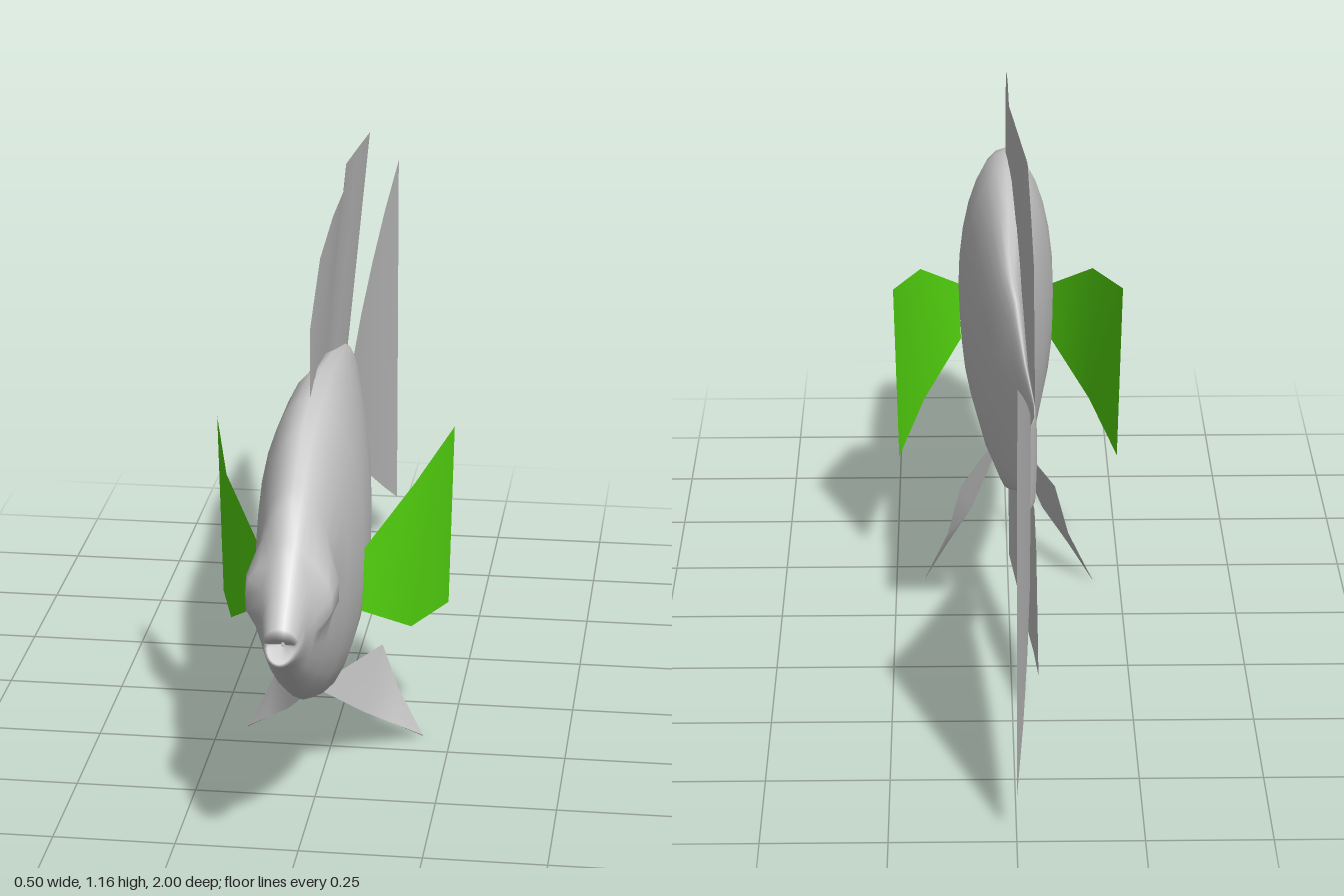
import * as THREE from 'three';
import { mergeVertices } from 'three/addons/utils/BufferGeometryUtils.js';

const grey = new THREE.MeshStandardMaterial({ color: 0xcccccc, side: THREE.DoubleSide });
const green = new THREE.MeshStandardMaterial({ color: 0x58e010, side: THREE.DoubleSide });

// Joins rows of [x, y, z] points into a smooth surface.
function loft(rows) {
  const n = rows[0].length, index = [];
  for (let i = 0; i < rows.length - 1; i++) {
    for (let j = 0; j < n - 1; j++) {
      const a = i * n + j, b = a + n;
      index.push(a, b, b + 1, a, b + 1, a + 1);
    }
  }
  let g = new THREE.BufferGeometry();
  g.setAttribute('position', new THREE.Float32BufferAttribute(rows.flat(2), 3));
  g.setIndex(index);
  g = mergeVertices(g, 1e-5);
  g.computeVertexNormals();
  return g;
}

export function createModel() {
  const fish = new THREE.Group();
  fish.name = 'fish';
  const add = (name, geometry, material = grey) => {
    const mesh = new THREE.Mesh(geometry, material);
    mesh.name = name;
    fish.add(mesh);
  };

  // Body stations: z, top, bottom, half width, notch of the open mouth, sideways bend, eye bulge
  const stations = [
    [0.94, 0.535, 0.525, 0.004, 0, 0, 0],
    [0.962, 0.56, 0.515, 0.026, 0.032, 0, 0],
    [0.962, 0.578, 0.503, 0.034, 0.022, 0, 0],
    [0.93, 0.635, 0.475, 0.043, 0, 0, 0],
    [0.885, 0.69, 0.435, 0.054, 0, 0, 0],
    [0.865, 0.71, 0.42, 0.06, 0, 0, 0.025],
    [0.81, 0.765, 0.378, 0.071, 0, 0, 0.021],
    [0.775, 0.792, 0.355, 0.077, 0, 0, 0],
    [0.67, 0.86, 0.295, 0.093, 0, 0, 0],
    [0.55, 0.892, 0.25, 0.108, 0, 0, 0],
    [0.4, 0.9, 0.238, 0.104, 0, 0, 0],
    [0.2, 0.872, 0.255, 0.08, 0, 0, 0],
    [0, 0.822, 0.303, 0.045, 0, 0, 0],
    [-0.09, 0.77, 0.34, 0.027, 0, -0.014, 0],
    [-0.2, 0.68, 0.387, 0.012, 0, -0.03, 0],
    [-0.31, 0.632, 0.42, 0.006, 0, -0.047, 0],
    [-0.35, 0.62, 0.428, 0.004, 0, -0.047, 0],
    [-0.39, 0.618, 0.43, 0.001, 0, -0.038, 0],
  ];
  const sides = 28;
  add('body', loft(stations.map(([z, top, bottom, w, notch, bend, bulge]) => {
    const ring = [];
    for (let j = 0; j <= sides; j++) {
      const a = ((j % sides) / sides) * Math.PI * 2, c = Math.cos(a), s = Math.sin(a);
      const y = (top + bottom) / 2 + (top - bottom) / 2 * s;
      const lip = notch * Math.abs(s) * (s < 0 ? 1.2 : 0.85);
      const eye = bulge * Math.sign(c) * Math.exp(-(((y - 0.6) / 0.06) ** 4));
      ring.push([bend + w * c + eye, y, z + lip]);
    }
    return ring;
  })));

  // Tail fin: a fan with a slight sideways curve
  const tail = [[-0.038, -0.385], [-0.034, -0.55], [-0.026, -0.7], [-0.015, -0.85], [0, -1]];
  add('tailFin', loft(tail.map(([x, z]) => {
    const t = (-0.385 - z) / 0.615;
    return [[x, 0.43 - 0.335 * t, z], [x, 0.62 + 0.33 * t, z]];
  })));

  // Dorsal fin along the back
  add('dorsalFin', loft([
    [[0, 0.87, 0.55], [-0.005, 0.87, 0.47], [-0.012, 0.87, 0.35], [-0.018, 0.84, 0.18],
      [-0.026, 0.76, 0], [-0.037, 0.665, -0.2], [-0.047, 0.655, -0.38]],
    [[0, 1.03, 0.55], [0, 1.13, 0.4], [0, 1.16, 0.2], [0, 1.165, 0.03],
      [-0.033, 1.14, -0.27], [-0.035, 1.115, -0.5], [-0.036, 1.09, -0.725]],
  ]));

  // Anal fin under the rear of the body
  add('analFin', loft([
    [[0, 0.29, 0.14], [-0.01, 0.32, 0.07], [-0.02, 0.36, -0.05], [-0.038, 0.4, -0.2], [-0.048, 0.395, -0.31], [-0.05, 0.34, -0.4]],
    [[0, 0.275, 0.13], [0, 0.145, 0], [-0.018, 0.112, -0.115], [-0.035, 0.08, -0.23], [-0.045, 0.103, -0.385], [-0.052, 0.125, -0.54]],
  ]));

  // Paired fins on each side
  for (const [side, s] of [['left', 1], ['right', -1]]) {
    // Pectoral fin: flares outward to the rear
    add(side + 'PectoralFin', loft([
      [[s * 0.103, 0.44, 0.545], [s * 0.107, 0.575, 0.545]],
      [[s * 0.187, 0.35, 0.4], [s * 0.193, 0.665, 0.4]],
      [[s * 0.241, 0.31, 0.165], [s * 0.25, 0.705, 0.165]],
    ]), green);

    // Pelvic fin: splayed down from the belly
    add(side + 'PelvicFin', loft([
      [[0, 0.242, 0.49], [0, 0.24, 0.48]],
      [[s * 0.08, 0.115, 0.32], [s * 0.105, 0.22, 0.2]],
      [[s * 0.135, 0.06, 0.25], [s * 0.135, 0.115, 0.177]],
      [[s * 0.19, 0.003, 0.177], [s * 0.19, 0, 0.175]],
    ]));
  }
  return fish;
}
